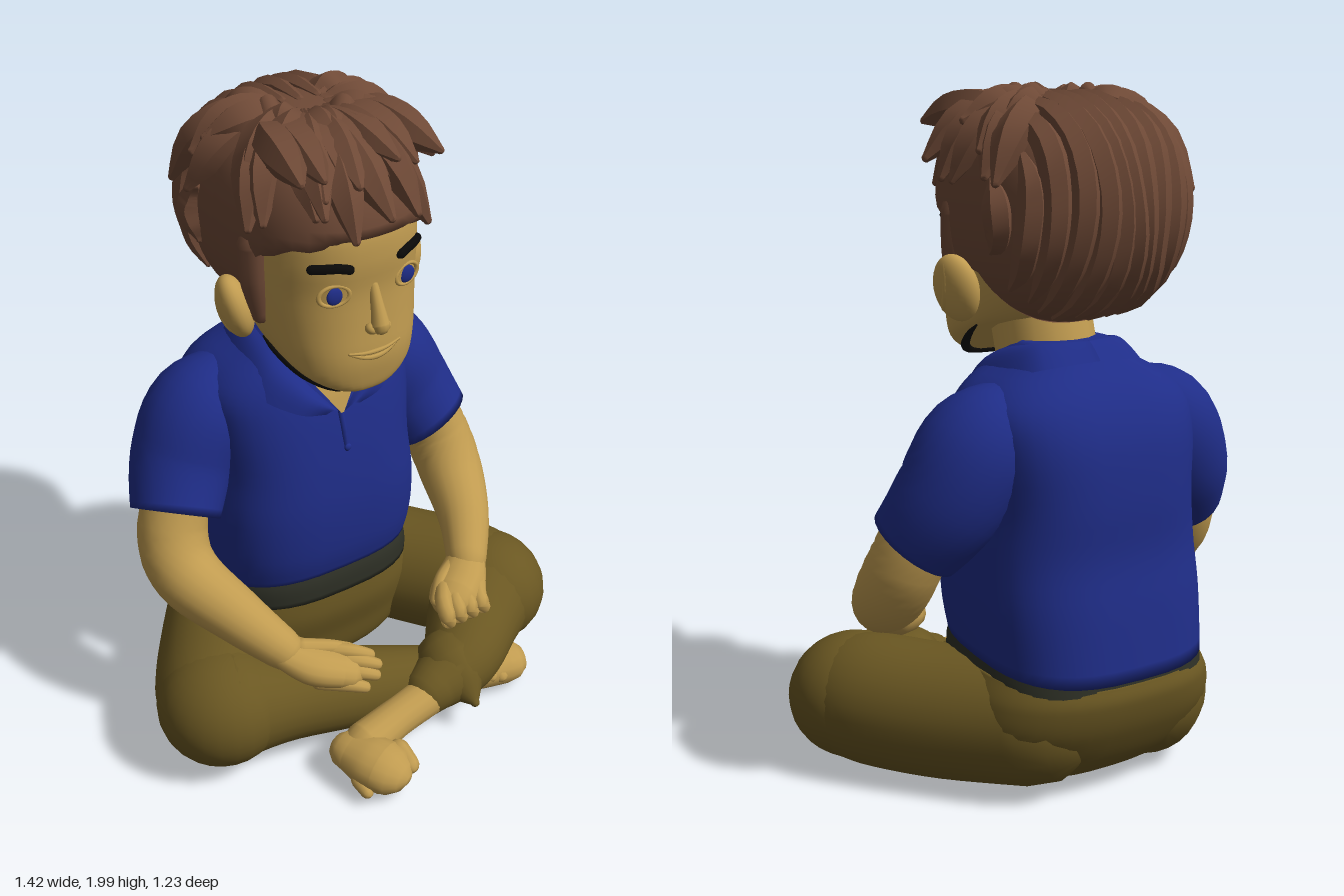
import * as THREE from 'three';
import { toCreasedNormals } from 'three/addons/utils/BufferGeometryUtils.js';
import { ParametricGeometry } from 'three/addons/geometries/ParametricGeometry.js';

const paint = (name, color, side = THREE.FrontSide) => {
  const m = new THREE.MeshStandardMaterial({ color, side });
  m.name = name;
  return m;
};
const V = (x, y, z) => new THREE.Vector3(x, y, z);

// Smooth interpolation through rows of numbers, t from 0 to 1
function mix(rows, t) {
  const f = t * (rows.length - 1), i = Math.min(Math.floor(f), rows.length - 2), u = f - i;
  const p = k => rows[Math.max(0, Math.min(rows.length - 1, k))];
  return rows[0].map((_, c) => {
    const a = p(i - 1)[c], b = p(i)[c], d = p(i + 1)[c], e = p(i + 2)[c];
    return b + 0.5 * u * (d - a + u * (2 * a - 5 * b + 4 * d - e + u * (3 * (b - d) + e - a)));
  });
}

// Closed skin over a list of equal rings, with end caps
function skin(rings) {
  const n = rings[0].length, pos = [], idx = [], last = rings.length - 1;
  rings.forEach(r => r.forEach(p => pos.push(p.x, p.y, p.z)));
  [rings[0], rings[last]].forEach(r => {
    const c = r.reduce((s, p) => s.add(p), V(0, 0, 0)).divideScalar(n);
    pos.push(c.x, c.y, c.z);
  });
  for (let i = 0; i < n; i++) {
    const k = (i + 1) % n, end = n * last, c = n * rings.length;
    for (let j = 0; j < last; j++) {
      const a = j * n + i, b = j * n + k;
      idx.push(a, a + n, b, b, a + n, b + n);
    }
    idx.push(c, i, k, c + 1, end + k, end + i);
  }
  const g = new THREE.BufferGeometry();
  g.setAttribute('position', new THREE.Float32BufferAttribute(pos, 3));
  g.setIndex(idx);
  g.computeVertexNormals();
  return g;
}

// Upright body from sections [y, half width, front z, back z, forward tilt]
const bend = (v, e) => Math.sign(v) * Math.abs(v) ** (2 / e);
function loft(sections, e, steps = 30, n = 40) {
  const rings = [];
  for (let j = 0; j <= steps; j++) {
    const [y, rx, zf, zb, tilt] = mix(sections, j / steps);
    rings.push(Array.from({ length: n }, (_, i) => {
      const a = i / n * Math.PI * 2, s = bend(Math.sin(a), e);
      return V(rx * bend(Math.cos(a), e), y + tilt * s, (zf + zb) / 2 + (zf - zb) / 2 * s);
    }));
  }
  return skin(rings);
}
function frontZ(sections, e, x, y) {
  let i = 0;
  while (i < sections.length - 2 && sections[i + 1][0] < y) i++;
  const a = sections[i], b = sections[i + 1], u = (y - a[0]) / (b[0] - a[0]);
  const [, rx, zf, zb] = a.map((v, c) => v + (b[c] - v) * u);
  return (zf + zb) / 2 + (zf - zb) / 2 * Math.max(0, 1 - Math.abs(x / rx) ** e) ** (1 / e);
}

// Limb along rows [x, y, z, radius], ends rounded, optionally flattened
function limb(rows, { n = 16, steps = 16, flat = 1, up = V(0, 1, 0), round = true } = {}) {
  const at = t => { const p = mix(rows, t); return [V(p[0], p[1], p[2]), Math.max(p[3], 0.002)]; };
  const rings = [];
  const ring = (t, shift, scale) => {
    const [p, r] = at(t);
    const dir = at(Math.min(1, t + 0.01))[0].sub(at(Math.max(0, t - 0.01))[0]).normalize();
    const ref = Math.abs(dir.dot(up)) > 0.98 ? V(0, 0, 1) : up;
    const side = V(0, 0, 0).crossVectors(ref, dir).normalize(), top = side.clone().cross(dir);
    p.addScaledVector(dir, shift * r);
    rings.push(Array.from({ length: n }, (_, i) => {
      const a = i / n * Math.PI * 2;
      return p.clone().addScaledVector(side, Math.cos(a) * r * scale)
        .addScaledVector(top, Math.sin(a) * r * scale * flat);
    }));
  };
  const caps = round ? [80, 55, 28] : [];
  caps.forEach(d => ring(0, -Math.sin(d * Math.PI / 180), Math.cos(d * Math.PI / 180)));
  for (let j = 0; j <= steps; j++) ring(j / steps, 0, 1);
  caps.reverse().forEach(d => ring(1, Math.sin(d * Math.PI / 180), Math.cos(d * Math.PI / 180)));
  return skin(rings);
}

const HEAD = [[1.215, .06, .15, .04, -.02], [1.24, .13, .172, -.04, -.04], [1.28, .19, .185, -.13, -.04], [1.335, .22, .195, -.25, -.02],
  [1.42, .24, .187, -.33, 0], [1.52, .25, .182, -.37, 0], [1.62, .25, .19, -.38, 0], [1.72, .235, .175, -.37, 0],
  [1.82, .17, .1, -.3, 0], [1.87, .05, 0, -.18, 0]];
const TORSO = [[.41, .35, .04, -.6, .05], [.55, .36, .06, -.575, 0], [.7, .355, .065, -.55, 0], [.85, .34, .05, -.55, 0],
  [1, .35, .022, -.535, 0], [1.1, .345, -.005, -.5, 0], [1.17, .29, -.03, -.45, 0], [1.23, .19, -.06, -.38, 0], [1.28, .13, -.1, -.33, 0]];
const PELVIS = [[.01, .2, -.1, -.38, 0], [.08, .33, 0, -.5, 0], [.2, .4, .03, -.58, 0], [.3, .39, .05, -.61, 0], [.38, .35, .04, -.6, .03]];
const BELT = [[.34, .352, .048, -.605, .03], [.38, .35, .045, -.6, .05], [.42, .34, .03, -.59, .05]];

export function createModel() {
  const model = new THREE.Group();
  const skinTone = paint('skin', 0xc09b50), shirt = paint('blueShirt', 0x1f2d88, THREE.DoubleSide);
  const pants = paint('olivePants', 0x6a5722), hair = paint('brownHair', 0x6e4936);
  const beltGrey = paint('darkBelt', 0x2d2f25), black = paint('black', 0x0b0a09);
  const add = (name, geo, mat) => {
    const m = new THREE.Mesh(geo, mat);
    m.name = name;
    model.add(m);
    return m;
  };
  const ball = (name, mat, x, y, z, sx, sy, sz) => {
    const m = add(name, new THREE.SphereGeometry(1, 24, 18), mat);
    m.position.set(x, y, z);
    m.scale.set(sx, sy, sz);
    return m;
  };

  // Clothes on the trunk
  add('shirtBody', loft(TORSO, 2.8), shirt);
  add('belt', loft(BELT, 2.8, 6), beltGrey);
  add('pelvis', loft(PELVIS, 2.5), pants);
  add('neck', limb([[0, 1.08, -.17, .15], [0, 1.22, -.14, .15], [0, 1.36, -.1, .15]]), skinTone);
  add('neckOpening', new ParametricGeometry((u, v, p) => {
    const y = 1.035 + v * .19, x = (u - .5) * 2 * (.005 + v * .13);
    p.set(x, y, frontZ(TORSO, 2.8, x, y) + .012);
  }, 8, 8), skinTone);
  add('placket', limb([[0, 1.04, .01, .01], [.004, .97, .028, .01], [.006, .91, .038, .008]], { n: 8 }), shirt);
  ball('button', shirt, .005, .92, .046, .012, .012, .007);

  for (const s of [1, -1]) {
    // Folded collar
    const inner = [[.006, 1.035, .022], [.085, 1.13, -.005], [.155, 1.235, -.1], [.14, 1.28, -.27], [0, 1.285, -.335]];
    const outer = [[.06, 1.05, .028], [.16, 1.08, .015], [.25, 1.14, -.1], [.19, 1.215, -.34], [0, 1.235, -.395]];
    add('collar', new ParametricGeometry((u, v, p) => {
      const a = mix(inner, u), b = mix(outer, u), puff = .018 * Math.sin(v * Math.PI);
      p.set(s * (a[0] + (b[0] - a[0]) * v), a[1] + (b[1] - a[1]) * v + puff, a[2] + (b[2] - a[2]) * v + puff * .6);
    }, 24, 6), shirt);
    // Sleeve and leg
    add('sleeve', limb([[s * .2, 1.08, -.26, .115], [s * .32, 1.01, -.265, .165], [s * .405, .87, -.245, .162],
      [s * .478, .735, -.175, .138]], { n: 24, round: false }), shirt);
    add('thigh', limb([[s * .2, .21, -.36, .19], [s * .36, .2, -.14, .195], [s * .48, .205, .04, .195], [s * .515, .205, .12, .185]],
      { n: 28 }), pants);
    ball('knee', pants, s * .515, .205, .12, .197, .187, .2);
    // Ear with rim
    const ear = ball('ear', skinTone, s * .285, 1.43, -.1, .05, .1, .072);
    ear.rotation.set(0, s * .35, -s * .28);
    const rim = add('earRim', new THREE.TorusGeometry(.055, .014, 8, 24), skinTone);
    rim.position.set(s * .308, 1.44, -.08);
    rim.scale.set(.7, 1.2, 1);
    rim.rotation.set(0, s * 1.1, -s * .28);
    // Eye and eyebrow
    const z = frontZ(HEAD, 2.4, .12, 1.53);
    const lid = add('eyelid', new THREE.TorusGeometry(.036, .006, 8, 24), skinTone);
    lid.position.set(s * .122, 1.53, z);
    lid.rotation.y = s * .25;
    lid.scale.set(1.25, .85, 1);
    ball('iris', shirt, s * .12, 1.53, z + .002, .027, .027, .009);
    add('eyebrow', limb([.085, .115, .145, .175].map((x, i) =>
      [s * x, 1.612 + [-.002, .005, .005, .002][i], frontZ(HEAD, 2.4, x, 1.61) + .002, .0145]), { n: 8 }), black);
    ball('nostril', skinTone, s * .022, 1.415, .2, .018, .016, .02);
    // Dark line under the jaw
    add('jawLine', limb([[0, 1.2, .135, .011], [s * .09, 1.208, .125, .013], [s * .155, 1.238, .055, .014], [s * .195, 1.285, -.03, .009],
      [s * .205, 1.315, -.08, .003]], { n: 8 }), black);
    // Sideburn
    add('sideburn', limb([[s * .245, 1.64, -.05, .05], [s * .245, 1.52, -.045, .045], [s * .235, 1.42, -.04, .03]], { n: 10 }), hair);
  }
  add('head', loft(HEAD, 2.4, 36), skinTone);
  add('nose', limb([[0, 1.54, .172, .014], [0, 1.48, .195, .019], [0, 1.425, .213, .027]], { n: 12 }), skinTone);
  [[1.335, .007], [1.316, .009]].forEach(([y, r]) => add('lip', limb([-.085, -.04, 0, .04, .085].map(x =>
    [x, y + x * x * (y > 1.32 ? 1.2 : 3.6), frontZ(HEAD, 2.4, x, y), r * (1 - Math.abs(x) * 6)]), { n: 8 }), skinTone));

  // Crossed shins, the left one in front with a pointed trouser hem
  add('leftShin', limb([[.5, .205, .13, .185], [.39, .19, .22, .155], [.25, .17, .33, .125], [.1, .15, .375, .085]], { n: 24 }), pants);
  add('leftHem', limb([[.2, .18, .34, .11], [.2, .15, .41, .08], [.2, .115, .48, .015]]), pants);
  add('rightShin', limb([[-.5, .205, .13, .185], [-.32, .18, .18, .14], [-.08, .15, .24, .125], [.16, .11, .28, .09]], { n: 24 }), pants);
  add('leftAnkle', limb([[.08, .14, .39, .065], [-.06, .12, .405, .062], [-.18, .095, .42, .07]]), skinTone);
  add('leftFoot', limb([[-.23, .09, .42, .07], [-.205, .088, .48, .088], [-.185, .085, .525, .092]], { flat: .8 }), skinTone);
  add('rightFoot', limb([[.16, .1, .28, .07], [.3, .09, .32, .08], [.42, .08, .345, .08]], { flat: .85 }), skinTone);
  for (let i = 0; i < 5; i++) {
    const r = .036 - i * .003, w = Math.abs(i - 1.5);
    const lx = -.118 - i * .037, rx = .335 + i * .036, y = .105 - i * .011;
    add('leftToe', limb([[lx, y, .51, r], [lx, y - .01, .585 - w * .012, r * .85]], { n: 10, steps: 4 }), skinTone);
    add('rightToe', limb([[rx, y, .34, r], [rx, y - .01, .4 - w * .012, r * .85]], { n: 10, steps: 4 }), skinTone);
  }

  // Arms and hands
  add('rightArm', limb([[-.44, .84, -.2, .1], [-.5, .68, -.16, .108], [-.5, .57, -.08, .105], [-.42, .48, .08, .085],
    [-.34, .4, .2, .065]], { n: 20, steps: 24 }), skinTone);
  add('leftArm', limb([[.44, .84, -.2, .1], [.5, .68, -.16, .108], [.505, .57, -.08, .105], [.455, .49, .06, .085],
    [.38, .415, .18, .065]], { n: 20, steps: 24 }), skinTone);
  add('rightPalm', limb([[-.35, .4, .19, .06], [-.27, .35, .26, .08], [-.19, .32, .3, .075]], { flat: .7 }), skinTone);
  add('leftPalm', limb([[.39, .42, .17, .06], [.33, .385, .22, .08], [.27, .37, .26, .08]], { flat: .8 }), skinTone);
  [[-.1, .345, .32], [-.09, .32, .345], [-.105, .295, .36], [-.15, .275, .37]].forEach(([x, y, z], i) => {
    add('rightFinger', limb([[x - .12, y + .03, z - .07, .026], [x - .05, y + .022, z - .02, .024], [x, y, z, .019]], { n: 10, steps: 8 }), skinTone);
    const lx = .2 + i * .045;
    add('leftFinger', limb([[lx + .05, .4, .23, .028], [lx, .395 - i * .006, .3, .028], [lx - .005, .35, .335, .025],
      [lx + .01, .325, .305, .02]], { n: 10, steps: 10 }), skinTone);
  });
  add('rightThumb', limb([[-.29, .4, .23, .03], [-.21, .385, .26, .025], [-.15, .365, .28, .02]], { n: 10 }), skinTone);
  add('leftThumb', limb([[.32, .41, .18, .03], [.25, .41, .22, .026], [.2, .38, .26, .02]], { n: 10 }), skinTone);

  // Hair cap, cut back along the hairline
  let seed = 7;
  const rnd = (a, b) => { seed = (seed * 16807) % 2147483647; return a + (b - a) * seed / 2147483647; };
  const scalp = (x, y, z, k = 1) => {
    const q = k / (Math.abs(x) ** 2.4 + Math.abs(y) ** 2.4 + Math.abs(z) ** 2.4) ** (1 / 2.4);
    return V(x * q * .295, 1.645 + y * q * .315, -.19 + z * q * (z > 0 ? .4 : .34));
  };
  const cap = new THREE.SphereGeometry(1, 48, 36), cp = cap.attributes.position;
  for (let i = 0; i < cp.count; i++) {
    const p = scalp(cp.getX(i), cp.getY(i), cp.getZ(i));
    const limit = p.y > 1.69 ? 1 : p.y > 1.63 ? .01 + (p.y - 1.63) * 3.2 : p.y > 1.5 ? -.01 : Math.max(-.3, -.17 - (1.5 - p.y) * .6);
    cp.setXYZ(i, p.x, p.y, Math.min(p.z, limit));
  }
  cap.computeVertexNormals();
  add('hairCap', cap, hair);
  const lock = (rows, opt) => add('hairLock', toCreasedNormals(limb(rows, { n: 6, steps: 9, ...opt }), .7), hair);

  // Long strands swept over the back
  for (let k = 0; k < 13; k++) {
    const u = -.93 + k * .155, w = Math.sqrt(1 - u * u), rows = [];
    const from = Math.abs(u) > .7 ? 45 : 0, to = 132 + 20 * w + rnd(-6, 6);
    for (let j = 0; j <= 6; j++) {
      const a = (from + (to - from) * j / 6) * Math.PI / 180;
      const p = scalp(u + .05 * Math.sin(j + k), w * Math.cos(a), -w * Math.sin(a), .98 + rnd(0, .04));
      rows.push([p.x, p.y, p.z, [.015, .035, .045, .045, .042, .034, .01][j]]);
    }
    lock(rows, { steps: 16, up: V(1, 0, 0) });
  }
  // Chunky locks radiating from the crown to the front and sides
  for (const [count, e0, lift, r] of [[15, 14, .19, .066], [12, 32, .17, .07], [9, 52, .1, .07]]) {
    for (let k = 0; k < count; k++) {
      const th = (-112 + 224 * k / (count - 1) + rnd(-7, 7)) * Math.PI / 180, tip = (e0 + rnd(-5, 9)) * Math.PI / 180;
      const out = lift + rnd(-.07, .05), twist = rnd(-.25, .25);
      const rows = [0, .33, .66, 1].map((t, j) => {
        const e = tip + (1.3 - tip) * (1 - t), side = th + twist * t;
        const p = scalp(Math.sin(side) * Math.cos(e), Math.sin(e), Math.cos(side) * Math.cos(e), .93 + out * t * t + .02 * t);
        return [p.x, Math.min(p.y, 1.93), p.z, r * [.5, .9, .85, .2][j]];
      });
      lock(rows, { up: V(Math.cos(th), 0, -Math.sin(th)) });
    }
  }
  // Raised tufts at the top front
  for (let k = 0; k < 7; k++) {
    const x = -.21 + k * .066, d = rnd(-.04, .03);
    lock([[x * .5, 1.89, -.18, .03], [x * .85, 1.925, -.06, .055], [x, 1.925 + d * .5, .07, .055], [x * 1.15, 1.92 + d * 1.5, .2 + d, .012]]);
  }
  return model;
}
